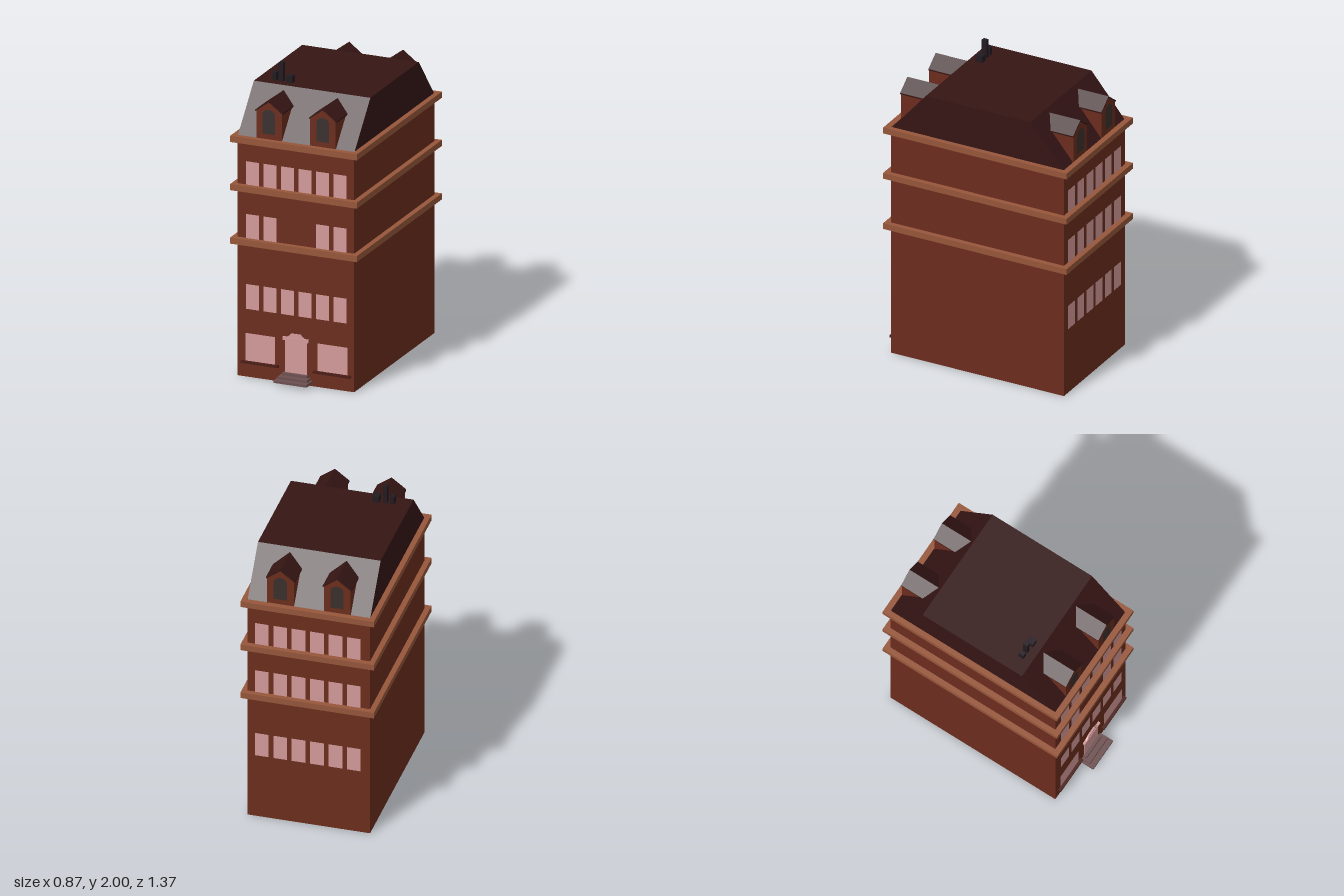
import * as THREE from 'three';

const paint = (color) => new THREE.MeshStandardMaterial({ color, flatShading: true, side: THREE.DoubleSide });

export function createModel() {
  const house = new THREE.Group();
  house.name = 'townHouse';
  const brick = paint(0x6b2d1d), trim = paint(0x96563a), glass = paint(0xd49a9a);
  const slate = paint(0x351514), stone = paint(0x6e5050), soot = paint(0x221a1f);
  const darkGlass = paint(0x3a302e), sillPaint = paint(0x4a1c14);

  const FRONT = 0.59, BACK = -0.645, MID = (FRONT + BACK) / 2, HALF = 0.4;

  const add = (parent, name, geometry, material) => {
    const mesh = new THREE.Mesh(geometry, material);
    mesh.name = name;
    parent.add(mesh);
    return mesh;
  };
  // Box given by its limits on each axis
  const block = (parent, name, [x0, x1], [y0, y1], [z0, z1], material) => {
    const m = add(parent, name, new THREE.BoxGeometry(x1 - x0, y1 - y0, z1 - z0), material);
    m.position.set((x0 + x1) / 2, (y0 + y1) / 2, (z0 + z1) / 2);
    return m;
  };
  const polygon = (points) => new THREE.Shape(points.map(([x, y]) => new THREE.Vector2(x, y)));
  const extrude = (shape, depth) =>
    new THREE.ExtrudeGeometry(shape, { depth, bevelEnabled: false, curveSegments: 8 });
  const rect = (w, d) => [[-w, -d], [w, -d], [w, d], [-w, d]];

  // Four walls, open at the top and bottom
  const walls = block(house, 'walls', [-HALF, HALF], [0, 1.59], [BACK, FRONT], brick);
  const index = Array.from(walls.geometry.index.array);
  walls.geometry.setIndex([...index.slice(0, 12), ...index.slice(24)]);
  walls.geometry.clearGroups();

  // Cornice rings between the storeys
  for (const y of [0.88, 1.235, 1.555]) {
    const ring = polygon(rect(0.435, 0.655));
    ring.holes.push(polygon(rect(HALF - 0.001, (FRONT - BACK) / 2 - 0.001)));
    const band = add(house, 'cornice', extrude(ring, 0.04).rotateX(-Math.PI / 2), trim);
    band.position.set(0, y, MID);
  }

  // Mansard roof, sloping only to the front and back
  const roofShape = polygon([[-FRONT, 1.585], [-BACK, 1.585], [0.405, 1.875], [-0.34, 1.875]]);
  const roof = add(house, 'roof', extrude(roofShape, 2 * HALF).rotateY(Math.PI / 2), slate);
  roof.position.x = -HALF;

  // Rows of windows on the front and back
  const pane = (x0, x1, y0, y1, front) => {
    const m = add(house, 'window', new THREE.PlaneGeometry(x1 - x0, y1 - y0), glass);
    m.position.set((x0 + x1) / 2, (y0 + y1) / 2, front ? FRONT + 0.003 : BACK - 0.003);
    if (!front) m.rotation.y = Math.PI;
  };
  [[0.45, 0.615], [0.92, 1.08], [1.275, 1.43]].forEach(([y0, y1], row) => {
    for (let i = 0; i < 6; i++) {
      const x = -0.34 + i * 0.12;
      pane(x, x + 0.09, y0, y1, false);
      if (row !== 1 || i < 2 || i > 3) pane(x, x + 0.09, y0, y1, true);
    }
  });

  // Wide ground floor windows with sills
  for (const [x0, x1] of [[-0.345, -0.14], [0.15, 0.355]]) {
    pane(x0, x1, 0.105, 0.29, true);
    block(house, 'windowSill', [x0 - 0.025, x1 + 0.025], [0.093, 0.107], [FRONT - 0.002, 0.612], sillPaint);
  }

  // Door with lintel and crest
  block(house, 'door', [-0.073, 0.078], [0.07, 0.285], [FRONT - 0.002, 0.595], glass);
  block(house, 'doorLintel', [-0.086, 0.09], [0.285, 0.305], [FRONT - 0.002, 0.606], glass);
  const crest = polygon([[-0.06, 0.305], [0.064, 0.305], [0.045, 0.318], [0.035, 0.33], [-0.031, 0.33], [-0.041, 0.318]]);
  add(house, 'doorCrest', extrude(crest, 0.014), glass).position.z = FRONT - 0.002;

  // Front steps
  [[0.113, 0.02, 0.036, 0.685], [0.1, 0.036, 0.053, 0.65], [0.085, 0.053, 0.07, 0.615]].forEach(([w, y0, y1, z]) =>
    block(house, 'step', [-w + 0.002, w + 0.002], [y0, y1], [FRONT - 0.002, z], stone));

  // Dormer: gabled body, roof slabs and arched window, front face at z = 0
  const makeDormer = () => {
    const dormer = new THREE.Group();
    dormer.name = 'dormer';
    const body = polygon([[-0.0875, 1.585], [0.0875, 1.585], [0.0875, 1.775], [0, 1.84], [-0.0875, 1.775]]);
    add(dormer, 'dormerBody', extrude(body, 0.23), brick).position.z = -0.232;
    const cover = polygon([[-0.095, 1.77], [0, 1.84], [0.095, 1.77], [0.095, 1.779], [0, 1.85], [-0.095, 1.779]]);
    add(dormer, 'dormerRoof', extrude(cover, 0.24), slate).position.z = -0.24;
    const arch = new THREE.Shape();
    arch.moveTo(-0.043, 1.63).lineTo(0.043, 1.63).lineTo(0.043, 1.755);
    arch.absellipse(0, 1.755, 0.043, 0.035, 0, Math.PI, false);
    arch.closePath();
    add(dormer, 'dormerWindow', new THREE.ShapeGeometry(arch, 8), darkGlass).position.z = 0.001;
    return dormer;
  };
  for (const x of [-0.185, 0.185]) {
    const front = makeDormer(), back = makeDormer();
    front.position.set(x, 0, FRONT);
    back.position.set(x, 0, BACK);
    back.rotation.y = Math.PI;
    house.add(front, back);
  }

  // Chimneys
  for (const [x, w, top, d] of [[-0.286, 0.014, 1.93, 0.018], [-0.24, 0.014, 2.0, 0.017], [-0.181, 0.021, 1.92, 0.025]])
    block(house, 'chimney', [x - w, x + w], [1.86, top], [0.267 - d, 0.267 + d], soot);

  return house;
}
